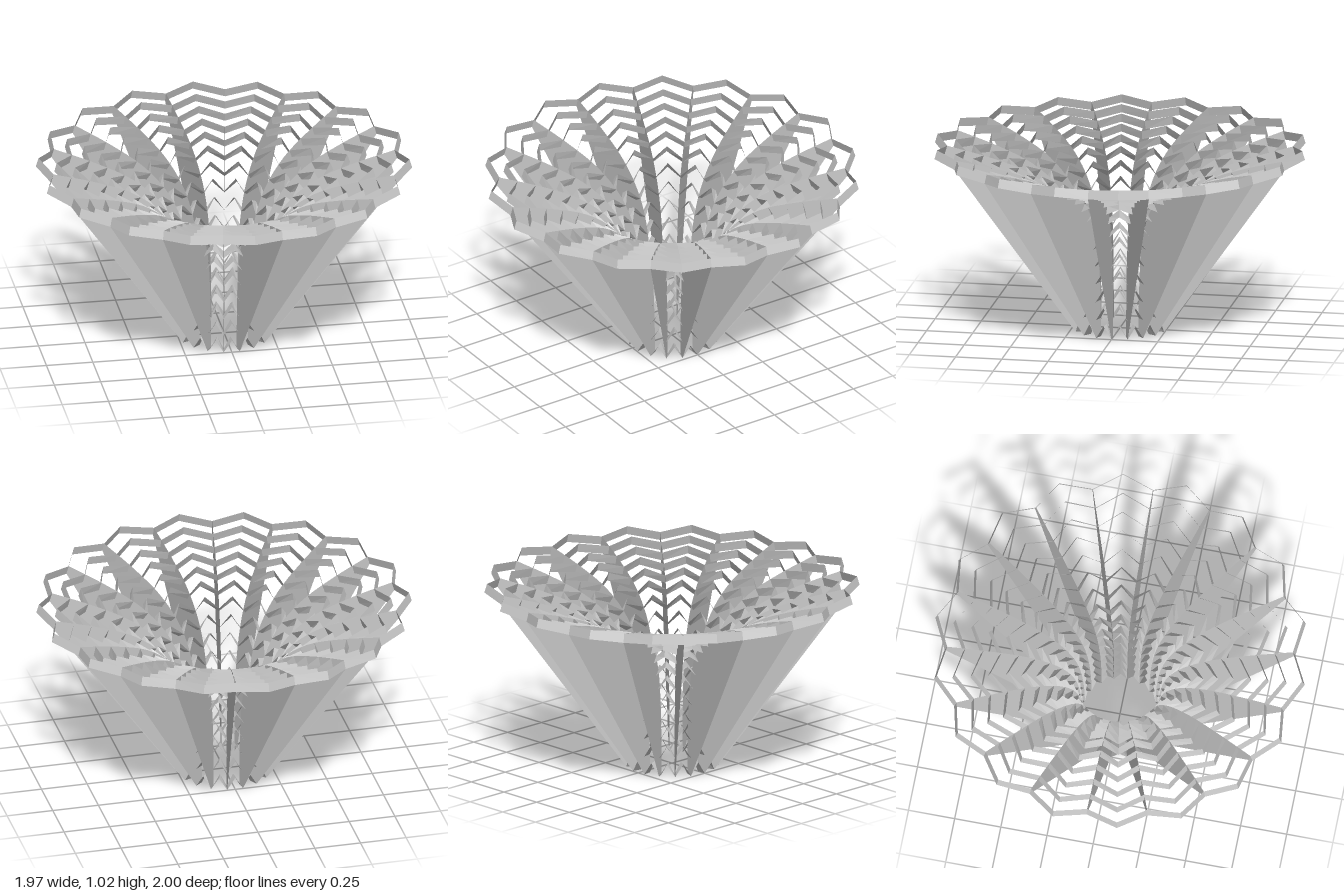
import * as THREE from 'three';

const FOLDS = 18;    // outward points around each ring
const RINGS = 15;    // zigzag strips along the flare
const DEPTH = 0.05;  // strip width, measured square to the profile
const SHIFT = 0.07;  // how far each point leads its valleys along the profile

// Inner profile of the flare: x is radius, y is height
const profile = new THREE.SplineCurve([
  [0.2, 0], [0.204, 0.2], [0.222, 0.43], [0.262, 0.6], [0.35, 0.745],
  [0.5, 0.86], [0.7, 0.938], [0.92, 1.0], [0.986, 1.02],
].map(([r, y]) => new THREE.Vector2(r, y)));
profile.arcLengthDivisions = 600;
const LENGTH = profile.getLength();

const V_END = LENGTH - SHIFT; // arc length where the last valley sits

// Point on the profile at arc length s, pushed outward by d
function at(s, d = 0) {
  const u = Math.min(1, s / LENGTH);
  const p = profile.getPointAt(u), t = profile.getTangentAt(u);
  return new THREE.Vector2(p.x + t.y * d, Math.max(0, p.y - t.x * d));
}

// One zigzag strip: alternate valley and point stations around the axis
function ringGeometry(s) {
  const pos = [], index = [], count = FOLDS * 2;
  for (let k = 0; k < count; k++) {
    const a = (k / count) * Math.PI * 2;
    const station = k % 2 ? s : s + SHIFT;
    for (const d of [0, DEPTH]) {
      const p = at(station, d);
      pos.push(p.x * Math.sin(a), p.y, p.x * Math.cos(a));
    }
    const b = k * 2, n = ((k + 1) % count) * 2;
    index.push(b, b + 1, n + 1, b, n + 1, n);
  }
  const g = new THREE.BufferGeometry();
  g.setAttribute('position', new THREE.Float32BufferAttribute(pos, 3));
  g.setIndex(index);
  const flat = g.toNonIndexed();
  flat.computeVertexNormals();
  return flat;
}

// Radial fin: curved inner edge, straight outer edge
function finGeometry() {
  const pts = [];
  for (let i = 0; i <= 28; i++) pts.push(at((i / 28) * V_END));
  pts.push(at(V_END, DEPTH), at(0, DEPTH));
  return new THREE.ShapeGeometry(new THREE.Shape(pts));
}

export function createModel() {
  const model = new THREE.Group();
  model.name = 'flaredLattice';
  const material = new THREE.MeshStandardMaterial({
    color: 0xcccccc, flatShading: true, side: THREE.DoubleSide,
  });

  // Zigzag strips from the narrow foot to the wide rim
  const rings = new THREE.Group();
  rings.name = 'zigzagRings';
  for (let i = 0; i < RINGS; i++) {
    const ring = new THREE.Mesh(ringGeometry((i / (RINGS - 1)) * V_END), material);
    ring.name = `zigzagRing${i + 1}`;
    rings.add(ring);
  }

  // Fins standing in the valleys between the points
  const fins = new THREE.Group();
  fins.name = 'radialFins';
  const finShape = finGeometry();
  for (let k = 0; k < FOLDS; k++) {
    const fin = new THREE.Mesh(finShape, material);
    fin.name = `radialFin${k + 1}`;
    fin.rotation.y = ((k + 0.5) / FOLDS) * Math.PI * 2 - Math.PI / 2;
    fins.add(fin);
  }

  model.add(rings, fins);
  return model;
}
